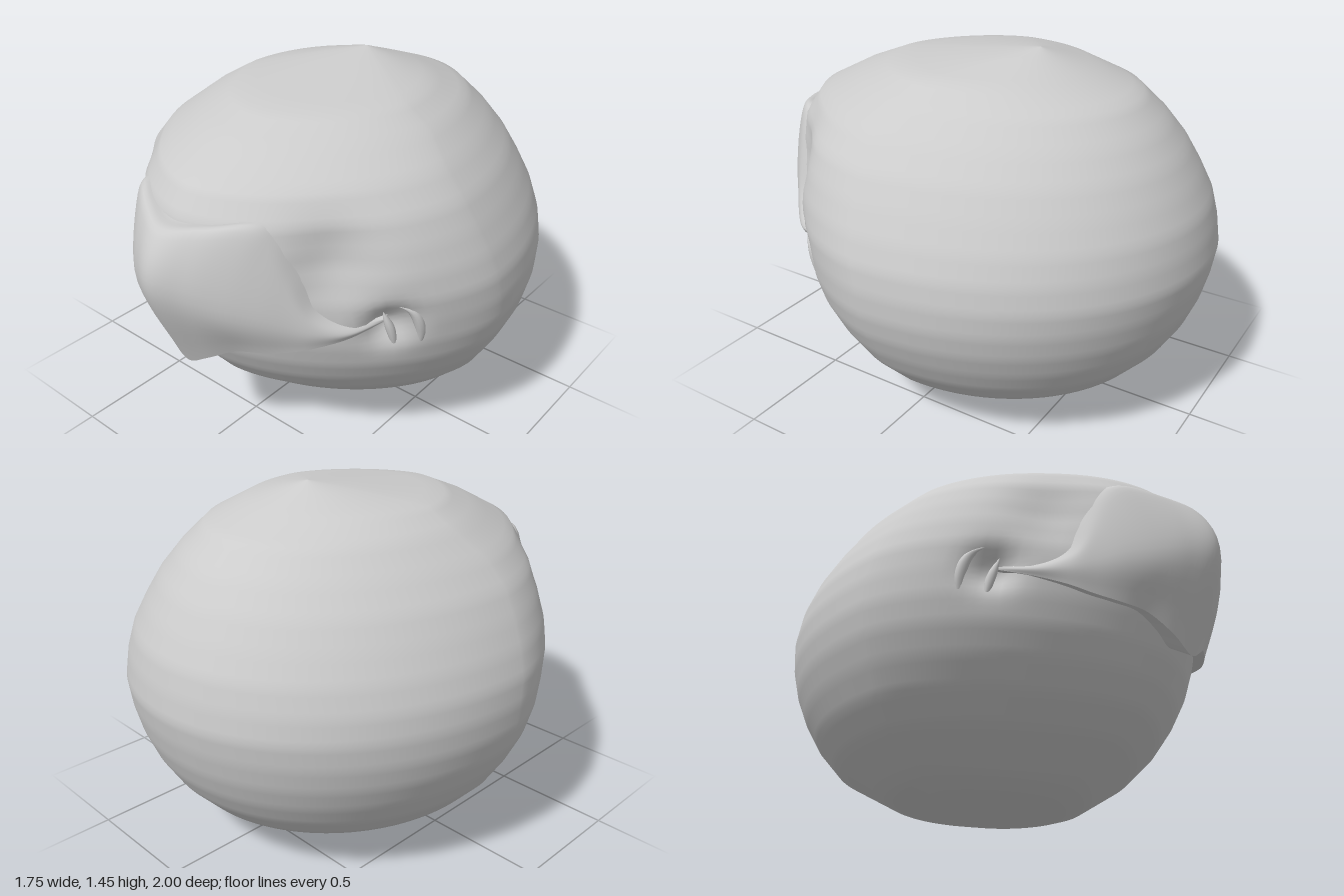
import * as THREE from 'three';

const V = (x, y, z) => new THREE.Vector3(x, y, z);

// Head sections from crown to chin: height, half width, front z, back z
const SECTIONS = [
  [1.45, 0, -0.25, -0.25], [1.42, 0.16, 0, -0.33], [1.37, 0.39, 0.4, -0.47], [1.3, 0.51, 0.58, -0.66],
  [1.2, 0.63, 0.78, -0.77], [1.1, 0.72, 0.85, -0.85], [1, 0.78, 0.87, -0.91], [0.9, 0.83, 0.87, -0.96],
  [0.8, 0.865, 0.85, -0.985], [0.7, 0.875, 0.82, -1], [0.6, 0.87, 0.79, -0.985], [0.5, 0.845, 0.755, -0.96],
  [0.4, 0.8, 0.7, -0.92], [0.3, 0.74, 0.62, -0.86], [0.2, 0.65, 0.5, -0.77], [0.08, 0.45, 0.3, -0.55],
  [0.035, 0.31, 0.19, -0.36], [0, 0, -0.17, -0.17],
];

function sectionAt(y) {
  let i = 0;
  while (i < SECTIONS.length - 2 && SECTIONS[i + 1][0] > y) i++;
  const a = SECTIONS[i], b = SECTIONS[i + 1];
  const t = (a[0] - y) / (a[0] - b[0]);
  const [w, f, k] = [1, 2, 3].map((n) => a[n] + (b[n] - a[n]) * t);
  return { w, f, k, c: (f + k) / 2 + 0.115 * w };
}

// Half width of the head at a given height and depth
function sideX(y, z) {
  const s = sectionAt(y);
  const t = Math.min(1, Math.abs(z - s.c) / (z > s.c ? s.f - s.c : s.c - s.k));
  const p = z > s.c ? 1.65 : 2;
  return s.w * (1 - t ** p) ** (1 / p);
}

// Skin over rows of points, listed from top to bottom
function loft(name, rows, closed) {
  const n = rows[0].length, index = [];
  for (let r = 0; r < rows.length - 1; r++) {
    for (let c = 0; c < (closed ? n : n - 1); c++) {
      const a = r * n + c, b = r * n + ((c + 1) % n);
      index.push(a, a + n, b, b, a + n, b + n);
    }
  }
  const geometry = new THREE.BufferGeometry().setFromPoints(rows.flat());
  geometry.setIndex(index);
  geometry.computeVertexNormals();
  const material = new THREE.MeshStandardMaterial({ color: 0xcccccc, side: THREE.DoubleSide });
  const mesh = new THREE.Mesh(geometry, material);
  mesh.name = name;
  return mesh;
}

// Hollows: centre, radius, depth
const HOLLOWS = [
  [V(0.66, 0.7, 0.44), 0.08, 0.07], // mouth corner
  [V(0.5, 0.95, 0.6), 0.17, 0.06], // beside the beak
];

function makeHead() {
  const rows = [];
  const heights = [];
  for (let i = 0; i < SECTIONS.length - 1; i++) {
    for (let k = 0; k < 4; k++) heights.push(THREE.MathUtils.lerp(SECTIONS[i][0], SECTIONS[i + 1][0], k / 4));
  }
  heights.push(0);
  for (const y of heights) {
    const s = sectionAt(y), row = [];
    for (let j = 0; j < 128; j++) {
      const a = (j / 128) * Math.PI * 2, sn = Math.sin(a), cs = Math.cos(a);
      const e = cs > 0 ? 2 / 1.65 : 1;
      const x = s.w * Math.sign(sn) * Math.abs(sn) ** e;
      const z = s.c + (cs > 0 ? s.f - s.c : s.c - s.k) * Math.sign(cs) * Math.abs(cs) ** e;
      const p = V(x, y, z);
      const inward = V(-x, 0, -z).normalize();
      let push = 0;
      for (const [centre, radius, depth] of HOLLOWS) {
        push += depth * Math.exp(-((V(Math.abs(x), y, z).distanceTo(centre) / radius) ** 2));
      }
      row.push(p.addScaledVector(inward, push));
    }
    rows.push(row);
  }
  return loft('head', rows, true);
}

// Beak guide lines on the +x side, from the ridge to the mouth corner
const BEAK = [
  // root, sunk in the face
  [[0, 1.09, 0.84], [0.15, 1.105, 0.78], [0.29, 1.125, 0.69], [0.36, 1.07, 0.64], [0.42, 0.93, 0.6],
    [0.47, 0.8, 0.57], [0.55, 0.735, 0.49], [0.62, 0.72, 0.41]],
  // shoulder
  [[0, 1.06, 0.94], [0.14, 1.075, 0.88], [0.27, 1.085, 0.79], [0.34, 1.02, 0.74], [0.4, 0.9, 0.7],
    [0.46, 0.775, 0.65], [0.54, 0.72, 0.56], [0.625, 0.715, 0.43]],
  // widest line
  [[0, 0.85, 1], [0.12, 0.83, 0.95], [0.23, 0.8, 0.88], [0.33, 0.77, 0.8], [0.415, 0.73, 0.72],
    [0.49, 0.7, 0.65], [0.565, 0.69, 0.56], [0.625, 0.71, 0.43]],
  // cutting edge
  [[0, 0.47, 0.85], [0.1, 0.52, 0.84], [0.21, 0.58, 0.8], [0.31, 0.595, 0.755], [0.4, 0.61, 0.7],
    [0.48, 0.635, 0.64], [0.56, 0.665, 0.55], [0.625, 0.705, 0.43]],
];

function makeBeak() {
  const N = 84, M = 20;
  const lines = BEAK.map((half) => {
    const right = half.slice(1).reverse().map(([x, y, z]) => V(-x, y, z));
    const curve = new THREE.CatmullRomCurve3([...right, ...half.map((p) => V(...p))], false, 'catmullrom');
    return curve.getPoints(N);
  });
  const outer = Array.from({ length: M + 1 }, () => []);
  for (let c = 0; c <= N; c++) {
    const across = new THREE.CatmullRomCurve3(lines.map((l) => l[c]), false, 'catmullrom');
    across.getPoints(M).forEach((p, r) => outer[r].push(p));
  }
  const edge = outer[M];
  const inner = edge.map((p) => V(p.x * 0.85, p.y + 0.09 * (1 - Math.abs(p.x)), p.z - 0.14));
  const beak = new THREE.Group();
  beak.name = 'beak';
  beak.add(loft('beakShell', outer, false), loft('beakUnderside', [edge, inner], false));
  return beak;
}

// Tapered skin fold running down the cheek through [y, z] points
function makeFold(name, points, radius, side) {
  const curve = new THREE.CatmullRomCurve3(points.map(([y, z, sink]) => V(sideX(y, z) - sink, y, z)));
  const rows = curve.getPoints(20).map((p, i) => {
    const r = radius * Math.sin((Math.PI * i) / 20) + 0.0005;
    return Array.from({ length: 10 }, (_, j) => {
      const a = (j / 10) * Math.PI * 2;
      return V(side * p.x + Math.sin(a) * r, p.y, p.z + Math.cos(a) * r);
    });
  });
  return loft(name, rows, true);
}

export function createModel() {
  const model = new THREE.Group();
  model.name = 'beakedHead';
  model.add(makeHead(), makeBeak());
  for (const side of [1, -1]) {
    const label = side > 0 ? 'left' : 'right';
    model.add(
      makeFold(label + 'OuterCheekFold', [[0.8, 0.44, 0.05], [0.75, 0.37, 0.03], [0.66, 0.34, 0.02], [0.53, 0.33, 0.01]], 0.022, side),
      makeFold(label + 'InnerCheekFold', [[0.75, 0.44, 0.06], [0.67, 0.415, 0.05], [0.57, 0.4, 0.02]], 0.018, side),
    );
  }
  return model;
}
